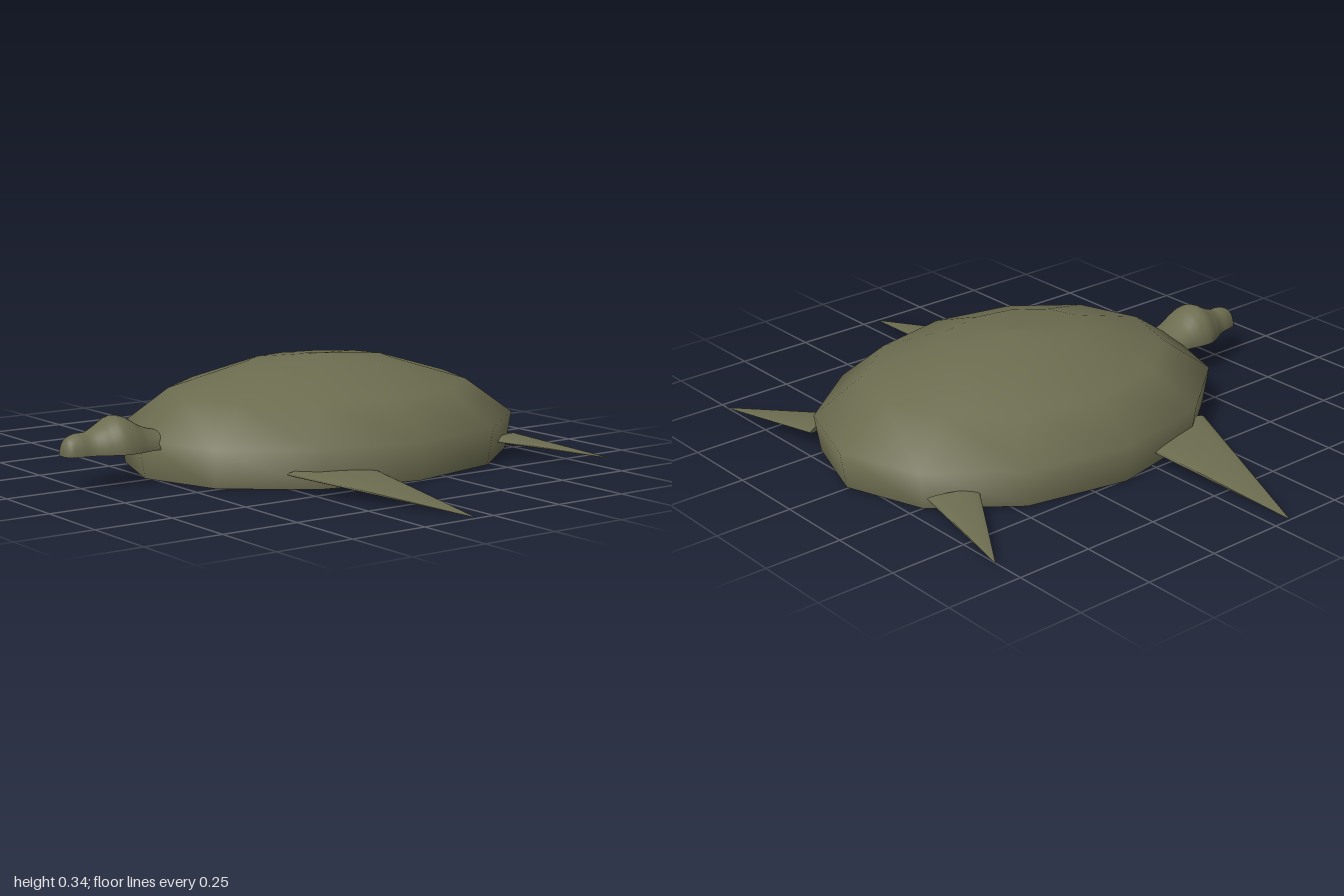
import * as THREE from 'three';
import { ParametricGeometry } from 'three/addons/geometries/ParametricGeometry.js';

export function createModel() {
  const model = new THREE.Group();
  model.name = 'turtle';
  const olive = new THREE.MeshStandardMaterial({ color: 0x6c6c50, side: THREE.DoubleSide });
  olive.name = 'olive green';

  const add = (name, geometry) => {
    const mesh = new THREE.Mesh(geometry, olive);
    mesh.name = name;
    model.add(mesh);
    return mesh;
  };

  // Shell: twelve-sided oval dome, open underneath
  const profile = [[0.97, 0.01], [1, 0.13], [0.755, 0.245], [0.365, 0.322], [0, 0.342]];
  const shell = new THREE.LatheGeometry(profile.map(([r, y]) => new THREE.Vector2(r, y)), 12);
  shell.scale(0.53, 1, 0.68);
  shell.translate(0, 0, -0.135);
  add('shell', shell);

  // Head: half-round sections (half width, height, z) swept from neck to snout
  const sections = [
    [0.07, 0.05, 0.42], [0.075, 0.05, 0.49], [0.083, 0.068, 0.55], [0.094, 0.1, 0.605],
    [0.094, 0.107, 0.64], [0.075, 0.085, 0.685], [0.052, 0.066, 0.73], [0.045, 0.064, 0.77],
    [0.036, 0.052, 0.798], [0.02, 0.03, 0.81], [0.001, 0.001, 0.812],
  ];
  const path = new THREE.CatmullRomCurve3(sections.map((s) => new THREE.Vector3(...s)));
  const section = new THREE.Vector3();
  add('head', new ParametricGeometry((u, v, target) => {
    path.getPoint(v, section);
    const a = u * Math.PI;
    target.set(section.x * Math.cos(a), 0.11 + section.y * Math.sin(a), section.z);
  }, 20, 30));

  // Flippers: flattened cones drooping from the shell to a pointed tip
  const flipper = (name, side, base, tip, halfWidth, halfThickness) => {
    const from = new THREE.Vector3(base[0] * side, base[1], base[2]);
    const to = new THREE.Vector3(tip[0] * side, tip[1], tip[2]);
    const axis = to.clone().sub(from);
    const length = axis.length();
    axis.normalize();
    const across = new THREE.Vector3().crossVectors(axis, new THREE.Vector3(0, 1, 0)).normalize();
    const up = new THREE.Vector3().crossVectors(across, axis);
    const cone = new THREE.ConeGeometry(1, length, 16);
    cone.scale(halfWidth, 1, halfThickness);
    cone.translate(0, length / 2, 0);
    cone.applyMatrix4(new THREE.Matrix4().makeBasis(across, axis, up).setPosition(from));
    add(name, cone);
  };
  for (const [label, side] of [['left', 1], ['right', -1]]) {
    flipper(label + 'FrontFlipper', side, [0.39, 0.06, 0.14], [1, 0.006, 0.06], 0.151, 0.012);
    flipper(label + 'RearFlipper', side, [0.322, 0.06, -0.645], [0.68, 0.03, -0.78], 0.08, 0.01);
  }

  return model;
}
